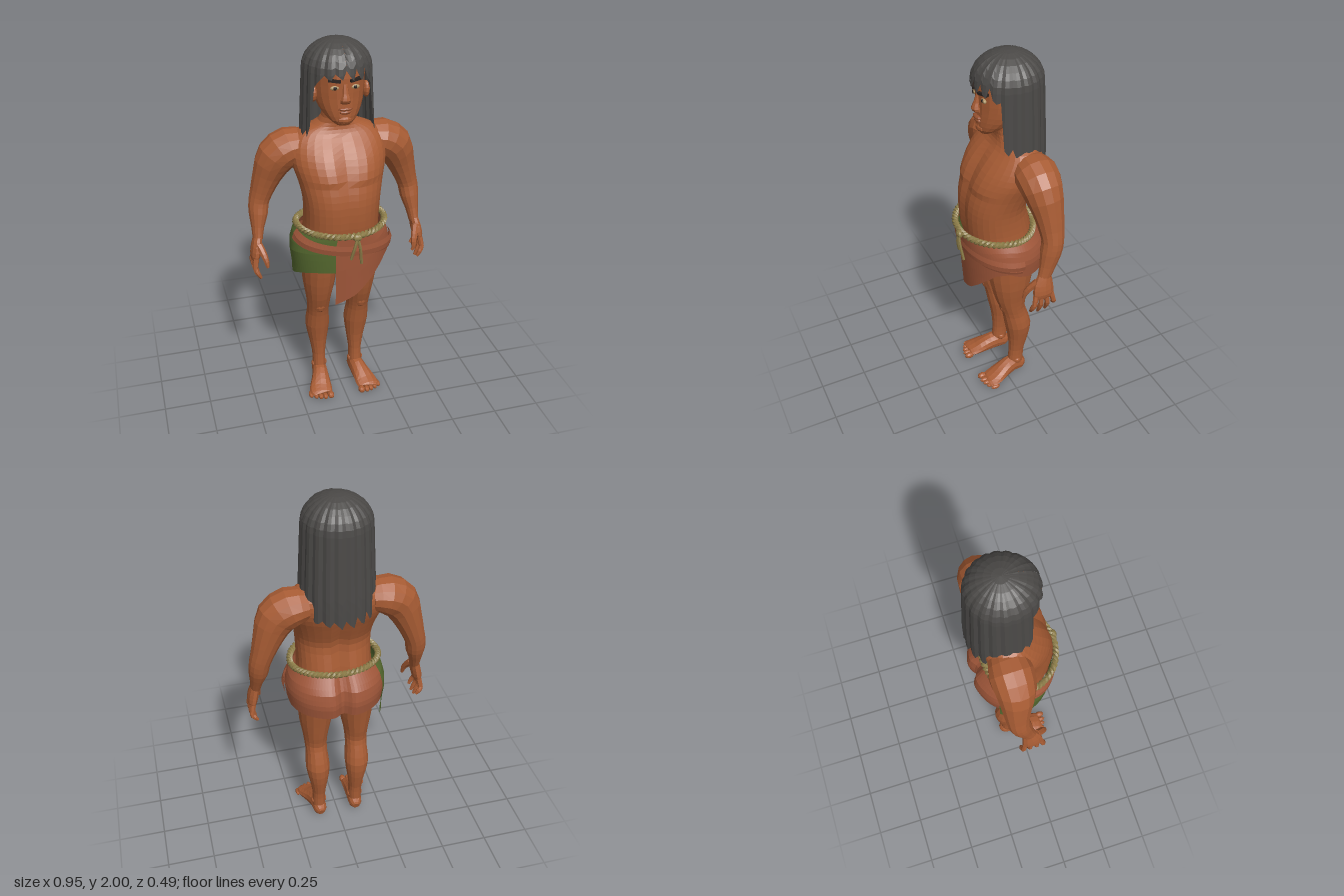
import * as THREE from 'three';

const mat = (name, color, open) => new THREE.MeshStandardMaterial({
  name, color, flatShading: true, side: open ? THREE.DoubleSide : THREE.FrontSide });
const V = (x, y, z) => new THREE.Vector3(x, y, z);

// piecewise linear lookup in [[key, value], ...]
function tab(pts, k) {
  if (k <= pts[0][0]) return pts[0][1];
  for (let i = 1; i < pts.length; i++) {
    const [a, b] = [pts[i - 1], pts[i]];
    if (k <= b[0]) return a[1] + (b[1] - a[1]) * (k - a[0]) / (b[0] - a[0]);
  }
  return pts[pts.length - 1][1];
}

// smooth in-between rings
function refine(rings, sub) {
  const out = [], at = i => rings[Math.max(0, Math.min(rings.length - 1, i))];
  for (let i = 0; i < rings.length - 1; i++) for (let k = 0; k < sub; k++) {
    const t = k / sub, [a, b, c, d] = [at(i - 1), at(i), at(i + 1), at(i + 2)];
    out.push(b.map((_, n) => b[n] + 0.5 * t * (c[n] - a[n] + t * (2 * a[n] - 5 * b[n] + 4 * c[n] - d[n]
      + t * (3 * (b[n] - c[n]) + d[n] - a[n])))));
  }
  out.push(at(rings.length));
  return out;
}

function surface(pos, idx) {
  const g = new THREE.BufferGeometry();
  g.setAttribute('position', new THREE.Float32BufferAttribute(pos, 3));
  g.setIndex(idx);
  g.computeVertexNormals();
  return g;
}

// closed body through rings [x, y, z, r1, r2]; dir fixes the ring plane, otherwise rings follow the path
function loft(rings, { n = 12, sub = 2, dir, ref = V(0, 0, 1), e = 2, rule } = {}) {
  const R = refine(rings, sub), pos = [], idx = [], c = R.map(r => V(r[0], r[1], r[2]));
  const pw = v => Math.sign(v) * Math.pow(Math.abs(v), 2 / e);
  R.forEach((r, i) => {
    const t = dir || c[Math.min(i + 1, R.length - 1)].clone().sub(c[Math.max(i - 1, 0)]).normalize();
    const v = ref.clone().addScaledVector(t, -ref.dot(t)).normalize(), u = v.clone().cross(t);
    for (let j = 0; j < n; j++) {
      const a = j / n * Math.PI * 2;
      const p = c[i].clone().addScaledVector(u, pw(Math.cos(a)) * r[3]).addScaledVector(v, pw(Math.sin(a)) * r[4]);
      if (rule) rule(p);
      pos.push(p.x, p.y, p.z);
      if (i < R.length - 1) {
        const k = (j + 1) % n, A = i * n + j, B = i * n + k;
        idx.push(A, B, B + n, A, B + n, A + n);
      }
    }
  });
  const s = R.length * n, last = s - n;
  [c[0], c[c.length - 1]].forEach(p => pos.push(p.x, p.y, p.z));
  for (let j = 0; j < n; j++) {
    const k = (j + 1) % n;
    idx.push(s, k, j, s + 1, last + j, last + k);
  }
  return surface(pos, idx);
}

// open sheet from a function of two parameters 0..1
function sheet(nu, nv, f) {
  const pos = [], idx = [];
  for (let i = 0; i <= nu; i++) for (let j = 0; j <= nv; j++) {
    pos.push(...f(i / nu, j / nv, i, j));
    if (i < nu && j < nv) {
      const a = i * (nv + 1) + j, b = a + nv + 1;
      idx.push(a, a + 1, b + 1, a, b + 1, b);
    }
  }
  return surface(pos, idx);
}

// draped hip surface: angle 0 is the front, growing towards +x
function hip(a, y, off) {
  const s = Math.sin(a), c = Math.cos(a);
  const rx = tab([[0.8, 0.25], [0.93, 0.265], [1.0, 0.25], [1.06, 0.215]], y);
  const front = tab([[0.64, 0.18], [0.85, 0.195], [1.06, 0.205]], y);
  const back = tab([[0.83, 0.235], [0.9, 0.245], [0.97, 0.23], [1.06, 0.165]], y);
  const cleft = 1 - 0.16 * Math.exp(-((s / 0.14) ** 2));
  return [s * (rx + off), y, c > 0 ? c * (front + off) : c * (back * cleft + off) * (1 + 0.1 * s * s)];
}

export function createModel() {
  const model = new THREE.Group();
  const skin = mat('skin', 0xa85c34), lipMat = mat('lips', 0x94502f), eyeMat = mat('eyes', 0xb09668);
  const hairMat = mat('hair', 0x4b4947, true), dark = mat('brows', 0x2b2320), rope = mat('rope', 0x8c7c48);
  const hide = mat('hide cloth', 0xa0573a, true), green = mat('green cloth', 0x55692f, true);
  const add = (name, geo, m, p) => {
    const o = new THREE.Mesh(geo, m);
    o.name = name;
    if (p) o.position.set(...p);
    model.add(o);
    return o;
  };
  const blob = (name, m, p, s, w = 10, h = 7) => {
    const o = add(name, new THREE.SphereGeometry(1, w, h), m, p);
    o.scale.set(...s);
    return o;
  };
  const up = V(0, 1, 0), down = V(0, -1, 0);

  // torso with chest, midline and spine shaping
  add('torso', loft([[0, 0.82, -0.01, 0.14, 0.11], [0, 0.9, -0.015, 0.2, 0.16], [0, 1.0, 0.005, 0.2, 0.17],
    [0, 1.08, 0.02, 0.194, 0.17], [0, 1.2, 0.035, 0.198, 0.158], [0, 1.3, 0.01, 0.217, 0.163],
    [0, 1.4, -0.03, 0.245, 0.16], [0, 1.48, -0.058, 0.24, 0.138], [0, 1.54, -0.065, 0.2, 0.095],
    [0, 1.59, -0.055, 0.095, 0.075], [0, 1.66, -0.035, 0.072, 0.072]], {
    n: 32, sub: 3, dir: up, e: 2.3, rule: p => {
      const x = Math.abs(p.x), mid = Math.exp(-((x / 0.03) ** 2));
      const body = Math.min(1, Math.max(0, (1.55 - p.y) / 0.08));
      if (p.z < -0.06) p.z += 0.028 * mid * body;
      if (p.z > 0.03 && p.y > 1.0) {
        const pec = tab([[1.31, 0], [1.34, 1], [1.42, 0.8], [1.5, 0]], p.y);
        p.z += body * (0.014 * pec * Math.exp(-(((x - 0.1) / 0.08) ** 2)) - 0.01 * mid);
      }
    } }), skin);

  // head
  add('head', loft([[0, 1.605, 0.065, 0.035, 0.03], [0, 1.63, 0.045, 0.068, 0.062], [0, 1.68, 0.0, 0.105, 0.108],
    [0, 1.74, -0.03, 0.125, 0.136], [0, 1.8, -0.04, 0.13, 0.147], [0, 1.88, -0.045, 0.13, 0.148],
    [0, 1.94, -0.045, 0.1, 0.115], [0, 1.965, -0.045, 0.04, 0.05]], { n: 20, dir: up }), skin);
  add('nose', loft([[0, 1.815, 0.098, 0.012, 0.012], [0, 1.77, 0.108, 0.016, 0.017], [0, 1.74, 0.112, 0.026, 0.025],
    [0, 1.722, 0.106, 0.025, 0.018]], { n: 8, dir: down }), skin);
  blob('upperLip', lipMat, [0, 1.693, 0.106], [0.036, 0.01, 0.018]);
  blob('lowerLip', lipMat, [0, 1.676, 0.102], [0.031, 0.011, 0.018]);
  blob('chin', skin, [0, 1.635, 0.088], [0.04, 0.026, 0.026]);

  // hair: grooved strands from the crown, fringe at the front and long at the back
  const hem = [[0, 1.85], [46, 1.83], [54, 1.77], [61, 1.55], [80, 1.52], [110, 1.46], [130, 1.40], [180, 1.39]];
  add('hair', sheet(60, 14, (u, v, i) => {
    const a = u * Math.PI * 2, deg = Math.min(u, 1 - u) * 360, groove = i % 3 === 0;
    const yb = tab(hem, deg) + (groove ? 0.035 : 0) + 0.012 * Math.sin(i * 2.3);
    const yd = Math.max(1.86, yb), k = Math.min(1, v * 2), w = Math.max(0, v * 2 - 1);
    let r = Math.sin(k * Math.PI / 2) * (groove ? 0.965 : 1);
    const y = w > 0 ? yd + (yb - yd) * w : 2 - (2 - yd) * (1 - Math.cos(k * Math.PI / 2));
    r *= 1 + 0.1 * Math.min(1, Math.max(0, (1.86 - y) / 0.35));
    const c = Math.cos(a);
    return [Math.sin(a) * r * 0.173, y, -0.055 + c * r * (c > 0 ? 0.183 : 0.17)];
  }), hairMat);

  for (const s of [1, -1]) {
    const side = s > 0 ? 'left' : 'right';
    const mx = rings => rings.map(([x, ...rest]) => [x * s, ...rest]);

    // face details
    blob(side + 'Eye', eyeMat, [0.05 * s, 1.797, 0.096], [0.023, 0.011, 0.01]);
    blob(side + 'Iris', dark, [0.05 * s, 1.797, 0.103], [0.009, 0.0095, 0.005]);
    add(side + 'Brow', new THREE.BoxGeometry(0.06, 0.013, 0.018), dark, [0.052 * s, 1.833, 0.1])
      .rotation.set(0, 0.3 * s, 0.12 * s);
    blob(side + 'Ear', skin, [0.132 * s, 1.75, 0.005], [0.018, 0.042, 0.028]);

    // arm
    add(side + 'Arm', loft(mx([[0.16, 1.46, -0.085, 0.075, 0.09], [0.24, 1.453, -0.085, 0.098, 0.11],
      [0.31, 1.405, -0.085, 0.1, 0.1], [0.355, 1.31, -0.095, 0.077, 0.078], [0.387, 1.22, -0.1, 0.06, 0.063],
      [0.405, 1.16, -0.098, 0.054, 0.056], [0.412, 1.1, -0.085, 0.05, 0.054], [0.422, 1.03, -0.065, 0.034, 0.042],
      [0.428, 0.97, -0.045, 0.026, 0.035]]), { n: 14 }), skin);

    // hand with curled fingers
    add(side + 'Palm', loft(mx([[0.427, 0.99, -0.048, 0.024, 0.034], [0.437, 0.94, -0.038, 0.028, 0.05],
      [0.447, 0.89, -0.035, 0.026, 0.056], [0.45, 0.86, -0.035, 0.016, 0.05]]), { n: 10, dir: down }), skin);
    for (let f = 0; f < 4; f++) {
      const z = 0.008 - f * 0.028, spread = (1.5 - f) * 0.012, tip = [0.775, 0.762, 0.768, 0.795][f];
      add(side + 'Finger', loft(mx([[0.449, 0.88, z, 0.015, 0.014], [0.458, 0.83, z + spread * 0.6, 0.014, 0.013],
        [0.447, (tip + 0.83) / 2, z + spread, 0.013, 0.012], [0.432, tip, z + spread, 0.008, 0.008]]), { n: 7 }), skin);
    }
    add(side + 'Thumb', loft(mx([[0.428, 0.95, -0.01, 0.02, 0.022], [0.412, 0.91, 0.025, 0.018, 0.018],
      [0.402, 0.875, 0.043, 0.014, 0.014], [0.398, 0.845, 0.05, 0.008, 0.008]]), { n: 7 }), skin);

    // leg
    add(side + 'Leg', loft(mx([[0.11, 0.93, -0.02, 0.1, 0.14], [0.11, 0.83, -0.022, 0.098, 0.135],
      [0.112, 0.7, -0.022, 0.088, 0.112], [0.114, 0.6, -0.026, 0.07, 0.09], [0.114, 0.53, -0.033, 0.062, 0.07],
      [0.113, 0.47, -0.05, 0.06, 0.07], [0.112, 0.38, -0.07, 0.067, 0.074], [0.109, 0.28, -0.075, 0.052, 0.06],
      [0.107, 0.18, -0.067, 0.037, 0.045], [0.107, 0.11, -0.062, 0.037, 0.045], [0.107, 0.05, -0.06, 0.036, 0.045]]),
    { n: 16, dir: down }), skin);
    blob(side + 'Knee', skin, [0.115 * s, 0.545, 0.01], [0.038, 0.05, 0.034]);
    for (const k of [-1, 1]) blob(side + 'Ankle', skin, [(0.107 + k * 0.033) * s, 0.1, -0.06], [0.012, 0.018, 0.018]);

    // foot and toes
    add(side + 'Foot', loft(mx([[0.104, 0.04, -0.116, 0.018, 0.022], [0.105, 0.046, -0.095, 0.036, 0.042],
      [0.108, 0.06, -0.04, 0.042, 0.056], [0.118, 0.048, 0.02, 0.05, 0.046], [0.132, 0.031, 0.08, 0.062, 0.029],
      [0.138, 0.023, 0.12, 0.06, 0.02], [0.138, 0.02, 0.13, 0.045, 0.014]]), { n: 12, ref: up }), skin);
    for (let t = 0; t < 5; t++) {
      const r = t === 0 ? 0.019 : 0.0155 - t * 0.0007;
      blob(side + 'Toe', skin, [(0.09 + t * 0.025 + (t ? 0.006 : 0)) * s, r, 0.143 - t * t * 0.0022], [r, r, 0.028], 8, 6);
    }
  }

  // hide wrapped round the hips with a pointed front flap
  const hideHem = [[-0.28, 0.635], [0.16, 0.685], [0.55, 0.77], [0.98, 0.865], [1.3, 0.88], [1.8, 0.83], [4.6, 0.83]];
  add('hideWrap', sheet(72, 8, (u, v) => {
    const a = -0.28 + u * 4.85, yb = tab(hideHem, a);
    return hip(a, 1.055 + (yb - 1.055) * v, 0);
  }), hide);

  // diagonal folds across the front
  [[0.012, 1.02, 0.93, 0.028], [0.007, 0.985, 0.895, 0.016]].forEach(([off, y0, y1, h], i) =>
    add('hideFold', sheet(36, 2, (u, v) => {
      const a = (i ? -0.28 : -1.45) + u * (i ? 1.9 : 3.1);
      return hip(a, y0 + (y1 - y0) * Math.pow(u, 0.8) + h * (1 - 2 * v), off + 0.004 * Math.sin(v * Math.PI));
    }), hide));

  // green cloth over the right hip
  const greenHem = [[-2.15, 0.74], [-1.9, 0.745], [-1.1, 0.81], [-0.7, 0.83], [-0.2, 0.835]];
  add('greenCloth', sheet(28, 6, (u, v) => {
    const a = -2.15 + u * 1.95;
    return hip(a, 1.055 + (tab(greenHem, a) - 1.055) * v, 0.006 - 0.012 * u);
  }), green);

  // twisted rope belt, knot and loose ends
  for (const phase of [0, Math.PI]) {
    const pts = [];
    for (let i = 0; i < 240; i++) {
      const a = i / 240 * Math.PI * 2, w = a * 30 + phase, d = 0.009 * Math.cos(w), c = Math.cos(a);
      pts.push(V(Math.sin(a) * (0.232 + d), 1.06 + 0.009 * Math.sin(w), c * ((c > 0 ? 0.22 : 0.165) + d)));
    }
    add('ropeBelt', new THREE.TubeGeometry(new THREE.CatmullRomCurve3(pts, true), 360, 0.0095, 5, true), rope);
  }
  blob('ropeKnot', rope, [0.03, 1.055, 0.23], [0.026, 0.02, 0.018], 8, 6);
  [[0.0, 0.93], [0.055, 0.9]].forEach(([x, y]) => add('ropeEnd', new THREE.TubeGeometry(new THREE.CatmullRomCurve3(
    [V(0.03, 1.055, 0.235), V((x + 0.03) / 2, 1.0, 0.236), V(x, y, 0.222)]), 8, 0.008, 6), rope));

  return model;
}
